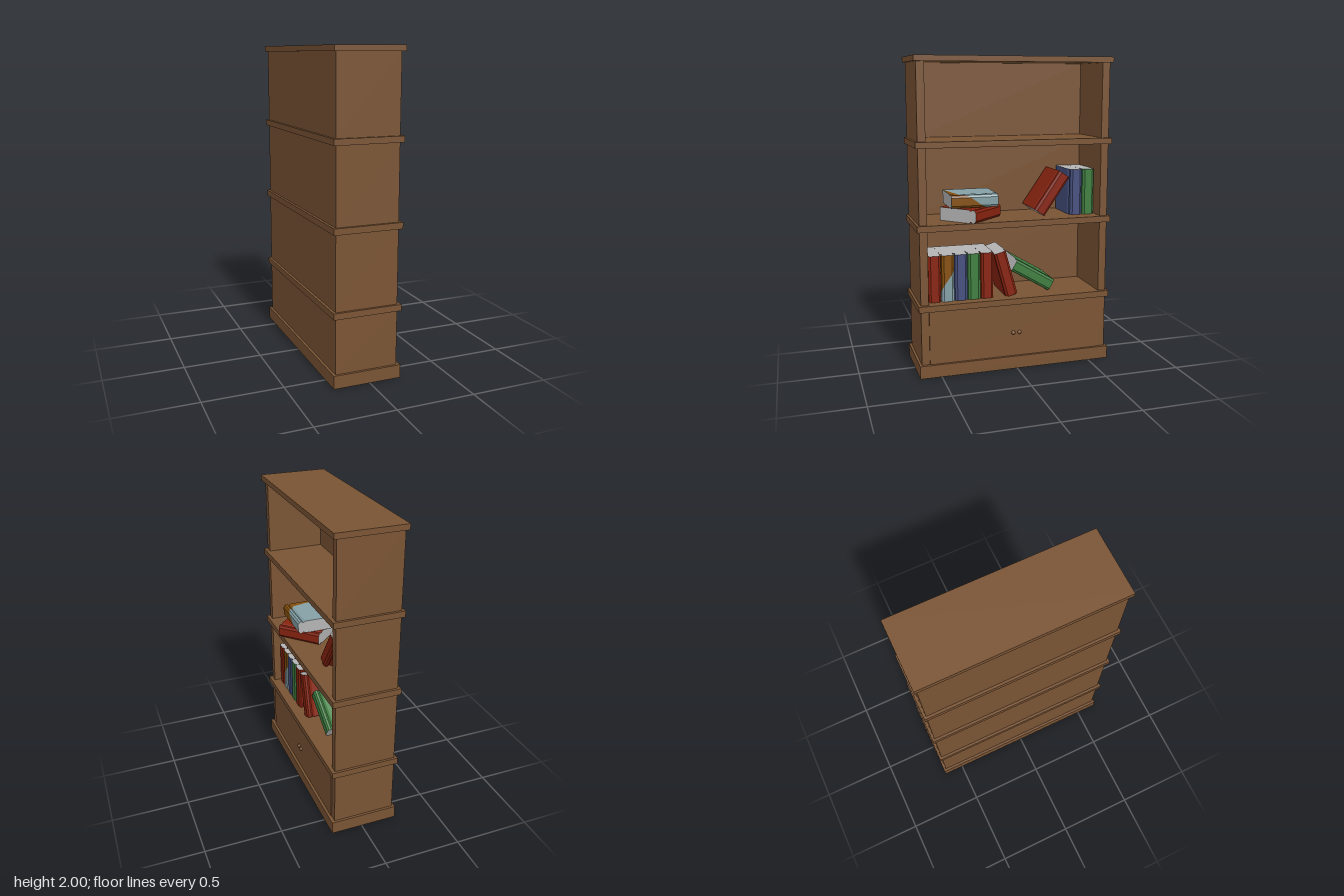
import * as THREE from 'three';

const mat = (name, color) => {
  const m = new THREE.MeshStandardMaterial({ color });
  m.name = name;
  return m;
};

const H = 0.3, T = 0.085, D = 0.27; // book height, thickness, depth

// Book cross-section: bevelled spine at +x, hinge grooves along both covers
function bookShape() {
  const h = T / 2, d = D / 2;
  const half = [[-d, h], [d - 0.05, h], [d - 0.037, h - 0.009], [d - 0.024, h], [d - 0.01, h - 0.003], [d, h - 0.017]];
  const pts = [...half, ...half.map(([x, y]) => [x, -y]).reverse()].reverse();
  return new THREE.Shape(pts.map(([x, y]) => new THREE.Vector2(x, y)));
}

function bookGeometry() {
  const g = new THREE.ExtrudeGeometry(bookShape(), { depth: H, bevelEnabled: false });
  g.translate(0, 0, -H / 2);
  g.rotateX(-Math.PI / 2);
  return g;
}

// Slanted seam wrapping from one cover over the spine to the other
function seamHeight(x, z) {
  const wrap = Math.abs(z) > 0.03 ? -Math.sign(z) * Math.max(0, D / 2 - x) : 0;
  return THREE.MathUtils.clamp(-0.01 - 1.4 * z + wrap, -0.149, 0.149);
}

// Moves one end of a book onto the slanted seam
function cutAtSeam(g, end) {
  const p = g.attributes.position;
  for (let i = 0; i < p.count; i++) {
    if (p.getY(i) * end > 0) p.setY(i, seamHeight(p.getX(i), p.getZ(i)));
  }
  g.computeVertexNormals();
  return g;
}

export function createModel() {
  const wood = mat('wood', 0x7a5434);
  const pages = mat('pages', 0xb4b4b4);
  const red = mat('red cover', 0x88230f);
  const orange = mat('orange cover', 0x85500c);
  const paleBlue = mat('pale blue cover', 0x84a0a6);
  const blue = mat('blue cover', 0x46507f);
  const green = mat('green cover', 0x3f7e40);

  const model = new THREE.Group();
  model.name = 'bookcase';

  const box = (name, x0, x1, y0, y1, z0, z1) => {
    const m = new THREE.Mesh(new THREE.BoxGeometry(x1 - x0, y1 - y0, z1 - z0), wood);
    m.name = name;
    m.position.set((x0 + x1) / 2, (y0 + y1) / 2, (z0 + z1) / 2);
    model.add(m);
  };

  // Base, shelves and top, all overhanging the case
  const boards = [['base', 0, 0.083], ['lowerShelf', 0.432, 0.472], ['middleShelf', 0.94, 0.98],
    ['upperShelf', 1.452, 1.49], ['top', 1.965, 2]];
  for (const [name, y0, y1] of boards) box(name, -0.235, 0.205, y0, y1, -0.638, 0.638);

  // Sides and back of each tier
  for (let i = 0; i < boards.length - 1; i++) {
    const y0 = boards[i][2], y1 = boards[i + 1][1];
    for (const s of [-1, 1]) {
      const a = s * 0.572, b = s * 0.622;
      box('sidePanel', -0.218, 0.183, y0, y1, Math.min(a, b), Math.max(a, b));
    }
    box('backPanel', -0.218, -0.185, y0, y1, -0.572, 0.572);
  }

  // Cupboard front with two knobs
  box('cupboardDoor', 0.155, 0.188, 0.083, 0.432, -0.571, 0.571);
  for (const z of [-0.019, 0.022]) {
    const knob = new THREE.Mesh(new THREE.SphereGeometry(0.013, 16, 12), wood);
    knob.name = 'knob';
    knob.position.set(0.19, 0.24, z);
    model.add(knob);
  }

  // Books: cover colours, centre, lean about x, turn about y
  const plain = bookGeometry();
  const upperPart = cutAtSeam(bookGeometry(), -1);
  const lowerPart = cutAtSeam(bookGeometry(), 1);
  const addBook = (cover, x, y, z, lean = 0, turn = 0) => {
    const book = new THREE.Group();
    book.name = 'book';
    const parts = cover === orange
      ? [[upperPart, orange], [lowerPart, paleBlue]]
      : [[plain, cover]];
    for (const [geo, c] of parts) {
      const m = new THREE.Mesh(geo, [pages, c]);
      m.name = 'bookCover';
      book.add(m);
    }
    // Page block edge at the back
    const edge = new THREE.Mesh(new THREE.BoxGeometry(0.004, H - 0.004, T - 0.016), pages);
    edge.name = 'pageEdge';
    edge.position.x = -D / 2;
    book.add(edge);
    book.position.set(x, y, z);
    book.rotation.set(lean, turn, 0, 'YXZ');
    model.add(book);
  };

  // Lower shelf: an upright row and two leaning books
  [red, orange, blue, green, red].forEach((c, i) => addBook(c, 0.005, 0.622, 0.522 - i * 0.0855));
  addBook(red, 0.005, 0.622, 0.055, 0.27);
  addBook(green, -0.035, 0.587, -0.143, 1.03);

  // Middle shelf: a flat stack, a leaning book and two upright ones
  addBook(red, 0.03, 1.023, 0.26, Math.PI / 2, 0.75);
  addBook(orange, 0.015, 1.109, 0.26, Math.PI / 2);
  addBook(red, -0.035, 1.127, -0.273, -0.604);
  addBook(blue, -0.035, 1.13, -0.438);
  addBook(green, -0.035, 1.13, -0.524);

  return model;
}
